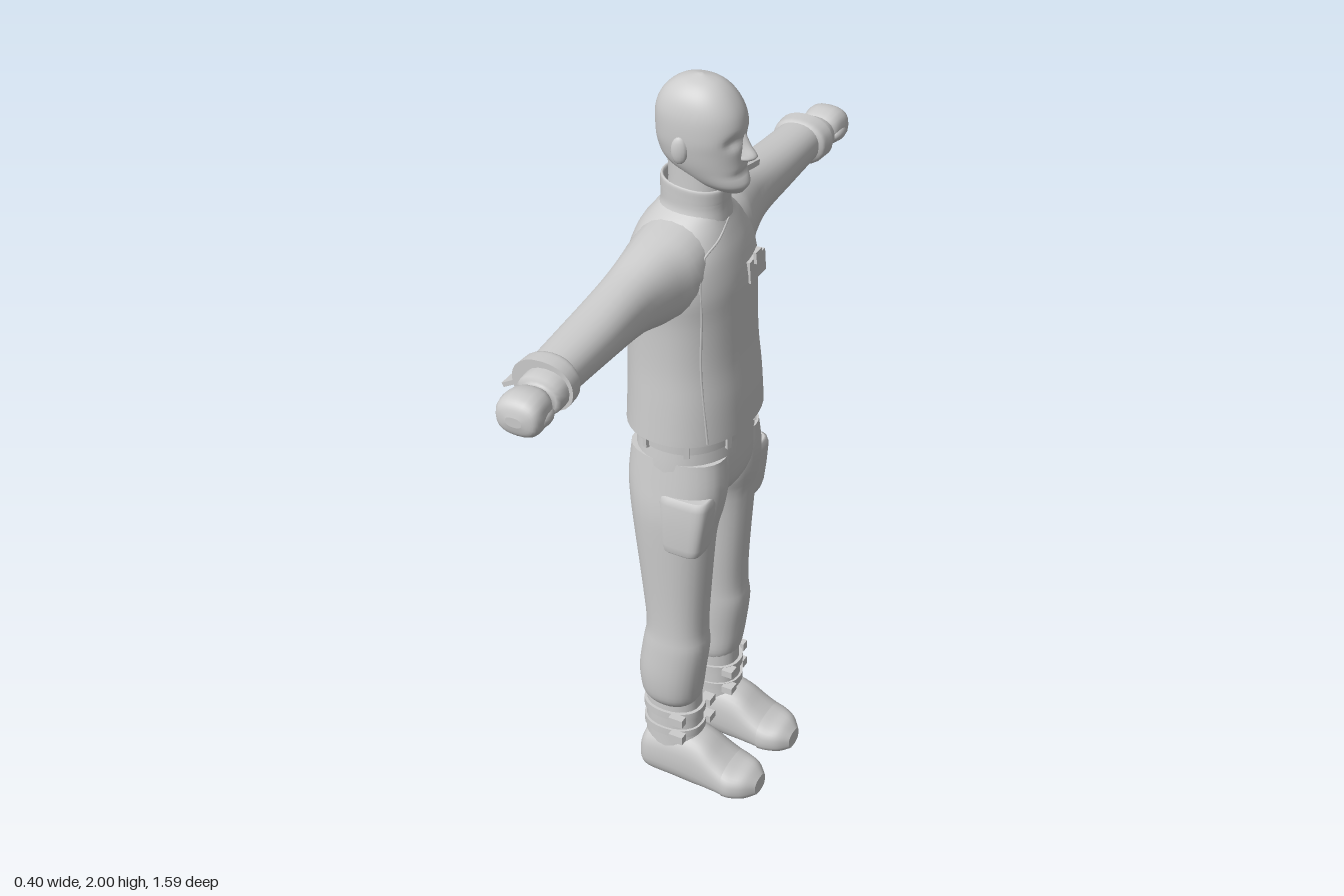
import * as THREE from 'three';

const grey = new THREE.MeshStandardMaterial({ color: 0xcccccc, side: THREE.DoubleSide });
grey.name = 'plain grey';

// Maps (u, v, s) to a point, s running along the chosen axis
const place = {
  x: (u, v, s) => [s, u, v],
  y: (u, v, s) => [v, s, u],
  z: (u, v, s) => [u, v, s],
};

// Smooth curve through the section rows [s, centreU, centreV, halfU, halfV]
function sample(rows, t) {
  const i = Math.min(Math.floor(t), rows.length - 2), f = t - i;
  const a = rows[Math.max(i - 1, 0)], b = rows[i], c = rows[i + 1], d = rows[Math.min(i + 2, rows.length - 1)];
  return b.map((_, k) => b[k] + 0.5 * f * (c[k] - a[k] + f * (2 * a[k] - 5 * b[k] + 4 * c[k] - d[k] + f * (3 * (b[k] - c[k]) + d[k] - a[k]))));
}

// Skin of superellipse rings along an axis, with flat end caps
function loft(axis, rows, { power = 2.2, sides = 28, steps = 4, caps = true, bend } = {}) {
  const pos = [], idx = [], n = (rows.length - 1) * steps;
  const put = (p) => { pos.push(...(bend ? bend(p) : p)); return pos.length / 3 - 1; };
  const se = (v) => Math.sign(v) * Math.abs(v) ** (2 / power);
  const ring = (r) => {
    const start = pos.length / 3;
    for (let j = 0; j < sides; j++) {
      const a = (j / sides) * Math.PI * 2;
      put(place[axis](r[1] + r[3] * se(Math.cos(a)), r[2] + r[4] * se(Math.sin(a)), r[0]));
    }
    return start;
  };
  for (let i = 0; i <= n; i++) ring(sample(rows, i / steps));
  const up = rows.at(-1)[0] > rows[0][0];
  const tri = (a, b, c, ok) => (ok ? idx.push(a, b, c) : idx.push(a, c, b));
  for (let i = 0; i < n; i++) for (let j = 0; j < sides; j++) {
    const k = (j + 1) % sides, a = i * sides + j, b = i * sides + k;
    tri(a, b, b + sides, up);
    tri(a, b + sides, a + sides, up);
  }
  if (caps) [rows[0], rows.at(-1)].forEach((r, e) => {
    const s = ring(r), c = put(place[axis](r[1], r[2], r[0]));
    for (let j = 0; j < sides; j++) tri(c, s + j, s + (j + 1) % sides, up === (e === 1));
  });
  const g = new THREE.BufferGeometry();
  g.setAttribute('position', new THREE.Float32BufferAttribute(pos, 3));
  g.setIndex(idx);
  g.computeVertexNormals();
  return g;
}

// Copy flipped to the other side of z = 0
function mirrored(geo) {
  const g = geo.clone().scale(1, 1, -1), a = g.index.array;
  for (let i = 0; i < a.length; i += 3) [a[i], a[i + 1]] = [a[i + 1], a[i]];
  g.computeVertexNormals();
  return g;
}

const box = (w, h, d, x, y, z, rx = 0, rz = 0) =>
  new THREE.BoxGeometry(w, h, d).rotateX(rx).rotateZ(rz).translate(x, y, z);

const torsoRows = [
  [1.10, 0, -.045, .192, .155], [1.2, 0, -.046, .185, .151], [1.3, 0, -.05, .178, .146],
  [1.42, 0, -.05, .178, .142], [1.5, 0, -.052, .185, .141], [1.57, 0, -.055, .175, .13],
  [1.62, 0, -.055, .14, .112], [1.655, 0, -.05, .1, .092], [1.675, 0, -.045, .072, .08],
];

// Front surface of the jacket at a given height and side offset
function jacketFront(y, z) {
  const i = Math.max(0, torsoRows.findIndex((r) => r[0] >= y) - 1);
  const r = sample(torsoRows, i + (y - torsoRows[i][0]) / (torsoRows[i + 1][0] - torsoRows[i][0]));
  const k = Math.min(1, Math.abs(z) / r[3]);
  return new THREE.Vector3(r[2] + r[4] * (1 - k ** 2.2) ** (1 / 2.2), y, z);
}

export function createModel() {
  const model = new THREE.Group();
  const add = (name, geo, parent = model) => {
    const m = new THREE.Mesh(geo, grey);
    m.name = name;
    parent.add(m);
  };
  const pair = (name, geo) => {
    add(name + 'Right', geo);
    add(name + 'Left', mirrored(geo));
  };

  // Head: sockets, brow and mouth pressed into the skull
  const dent = (y, z, y0, z0, sy, sz) => Math.exp(-(((y - y0) / sy) ** 2) - ((z - z0) / sz) ** 2);
  add('head', loft('y', [
    [1.728, 0, .045, .026, .036], [1.75, 0, .025, .052, .064], [1.79, 0, -.012, .07, .097],
    [1.83, 0, -.023, .079, .107], [1.87, 0, -.024, .083, .111], [1.92, 0, -.027, .08, .106],
    [1.96, 0, -.029, .066, .084], [1.987, 0, -.028, .04, .05], [2, 0, -.027, .004, .006],
  ], {
    sides: 48, steps: 6,
    bend: ([x, y, z]) => [x > 0.02 ? x - .014 * dent(y, Math.abs(z), 1.862, .034, .016, .02)
      - .006 * dent(y, z, 1.778, 0, .008, .04) + .006 * dent(y, z, 1.748, 0, .014, .03) : x, y, z],
  }));
  add('nose', loft('y', [
    [1.808, 0, .08, .008, .012], [1.815, 0, .087, .017, .022], [1.826, 0, .09, .015, .026],
    [1.85, 0, .08, .01, .019], [1.885, 0, .072, .009, .01],
  ], { sides: 14, power: 2 }));
  pair('ear', new THREE.SphereGeometry(1, 14, 10).scale(.02, .034, .011).rotateY(.25).translate(-.04, 1.84, .083));
  add('neck', loft('y', [[1.65, 0, -.04, .066, .074], [1.72, 0, -.035, .062, .07], [1.79, 0, -.04, .06, .066]]));

  // Jacket
  add('jacketBody', loft('y', torsoRows, { sides: 40 }));
  add('collar', loft('y', [
    [1.65, 0, -.045, .085, .09], [1.68, 0, -.042, .073, .083], [1.71, 0, -.042, .071, .083],
    [1.735, 0, -.042, .07, .082], [1.732, 0, -.042, .063, .074], [1.69, 0, -.042, .063, .074],
  ], { caps: false, bend: ([x, y, z]) => [x, y - (y > 1.7 ? .11 * (x + .04) : 0), z] }));
  const seam = [[1.105, .145], [1.3, .142], [1.45, .14], [1.55, .135], [1.59, .115], [1.62, .06], [1.65, 0]];
  add('frontFlapSeam', new THREE.TubeGeometry(
    new THREE.CatmullRomCurve3(seam.map(([y, z]) => jacketFront(y, z))), 40, .003, 6));
  add('chestPocket', box(.022, .056, .08, .083, 1.503, -.055, 0, .06));
  add('chestBadge', box(.008, .03, .03, .096, 1.535, -.05, 0, .1));
  add('sleevePocket', box(.075, .02, .1, -.078, 1.624, -.28, -.2));

  // Sleeves, cuffs and gloves
  pair('sleeve', loft('z', [
    [.05, -.055, 1.565, .1, .1], [.13, -.055, 1.55, .1, .105], [.2, -.062, 1.542, .085, .1],
    [.3, -.069, 1.541, .07, .079], [.45, -.07, 1.538, .066, .063], [.62, -.071, 1.534, .06, .053],
  ], { sides: 24 }));
  pair('cuff', loft('z', [
    [.605, -.071, 1.533, .06, .054], [.615, -.071, 1.532, .072, .06], [.635, -.071, 1.532, .075, .061],
    [.655, -.071, 1.532, .077, .061],
  ], { sides: 24 }));
  pair('cuffTab', box(.07, .011, .04, -.143, 1.518, .634, 0, .5));
  pair('gloveWrist', loft('z', [
    [.64, -.06, 1.53, .056, .048], [.688, -.06, 1.528, .056, .046], [.694, -.06, 1.527, .036, .033],
    [.71, -.06, 1.527, .034, .034],
  ], { sides: 20, steps: 2 }));
  pair('fist', loft('z', [
    [.697, -.06, 1.527, .034, .03], [.715, -.06, 1.526, .05, .042], [.745, -.06, 1.525, .055, .049],
    [.772, -.06, 1.523, .055, .047], [.788, -.06, 1.522, .045, .034], [.795, -.06, 1.522, .02, .012],
  ], { sides: 20, power: 2.5 }));
  pair('thumb', new THREE.SphereGeometry(1, 12, 10).scale(.018, .02, .034).translate(-.018, 1.515, .738));

  // Belt with loops
  const beltRow = (y, d = 0) => [y, 0, -.042, .167 + d, .13 + d];
  add('belt', loft('y', [beltRow(1.062), beltRow(1.11)], { sides: 40, steps: 1 }));
  const loops = new THREE.Group();
  loops.name = 'beltLoops';
  for (let i = 0; i < 8; i++) {
    const a = ((i + .5) / 8) * Math.PI * 2, se = (v) => Math.sign(v) * Math.abs(v) ** (2 / 2.2);
    add('beltLoop', new THREE.BoxGeometry(.012, .048, .014).rotateY(-a)
      .translate(-.042 + .132 * se(Math.cos(a)), 1.08, .169 * se(Math.sin(a))), loops);
  }
  model.add(loops);

  // Trousers
  add('hips', loft('y', [
    [1.075, 0, -.043, .163, .13], [1, 0, -.045, .17, .135], [.94, 0, -.046, .168, .13],
    [.9, 0, -.045, .12, .105], [.875, 0, -.045, .05, .06],
  ], { sides: 36 }));
  pair('trouserLeg', loft('y', [
    [1.03, .083, -.045, .083, .125], [.95, .09, -.045, .087, .13], [.88, .096, -.046, .09, .122],
    [.8, .106, -.047, .081, .108], [.6, .108, -.043, .073, .088], [.5, .111, -.04, .07, .081],
    [.44, .114, -.042, .072, .088], [.35, .116, -.053, .073, .088], [.28, .112, -.056, .07, .08],
    [.25, .109, -.055, .056, .067],
  ]));
  pair('thighPocket', loft('y', [
    [.775, .142, .002, .044, .05], [.8, .142, .004, .05, .058], [.92, .14, .008, .05, .068],
    [.94, .135, .006, .044, .062],
  ], { power: 4, steps: 2 }));

  // Boots: shaft, buckled straps and flat-soled foot
  pair('bootShaft', loft('y', [
    [.28, .106, -.054, .058, .074], [.2, .106, -.054, .06, .076], [.12, .106, -.052, .062, .08],
    [.05, .106, -.05, .066, .084],
  ], { sides: 24 }));
  for (const y of [.165, .222]) {
    pair('bootStrap', loft('y', [[y - .011, .107, -.053, .066, .083], [y + .011, .107, -.053, .066, .083]], { steps: 1 }));
    pair('strapBuckle', box(.04, .024, .022, -.01, y, .177));
    pair('strapTip', box(.03, .02, .03, .02, y, .062));
  }
  pair('bootFoot', loft('x', [
    [-.135, .05, .106, .05, .046], [-.11, .065, .106, .075, .064], [-.03, .07, .106, .085, .067],
    [.04, .06, .106, .08, .066], [.09, .045, .106, .058, .07], [.13, .034, .106, .044, .071],
    [.17, .03, .104, .038, .056], [.195, .025, .102, .024, .03],
  ], { power: 2.6, sides: 32, bend: ([x, y, z]) => [x, Math.max(0, y), z] }));
  pair('toeCap', loft('x', [
    [.115, .036, .106, .05, .073], [.14, .033, .106, .044, .071], [.172, .031, .104, .039, .056],
    [.197, .026, .102, .024, .03],
  ], { power: 2.6, sides: 32, bend: ([x, y, z]) => [x, Math.max(0, y), z] }));
  return model;
}
